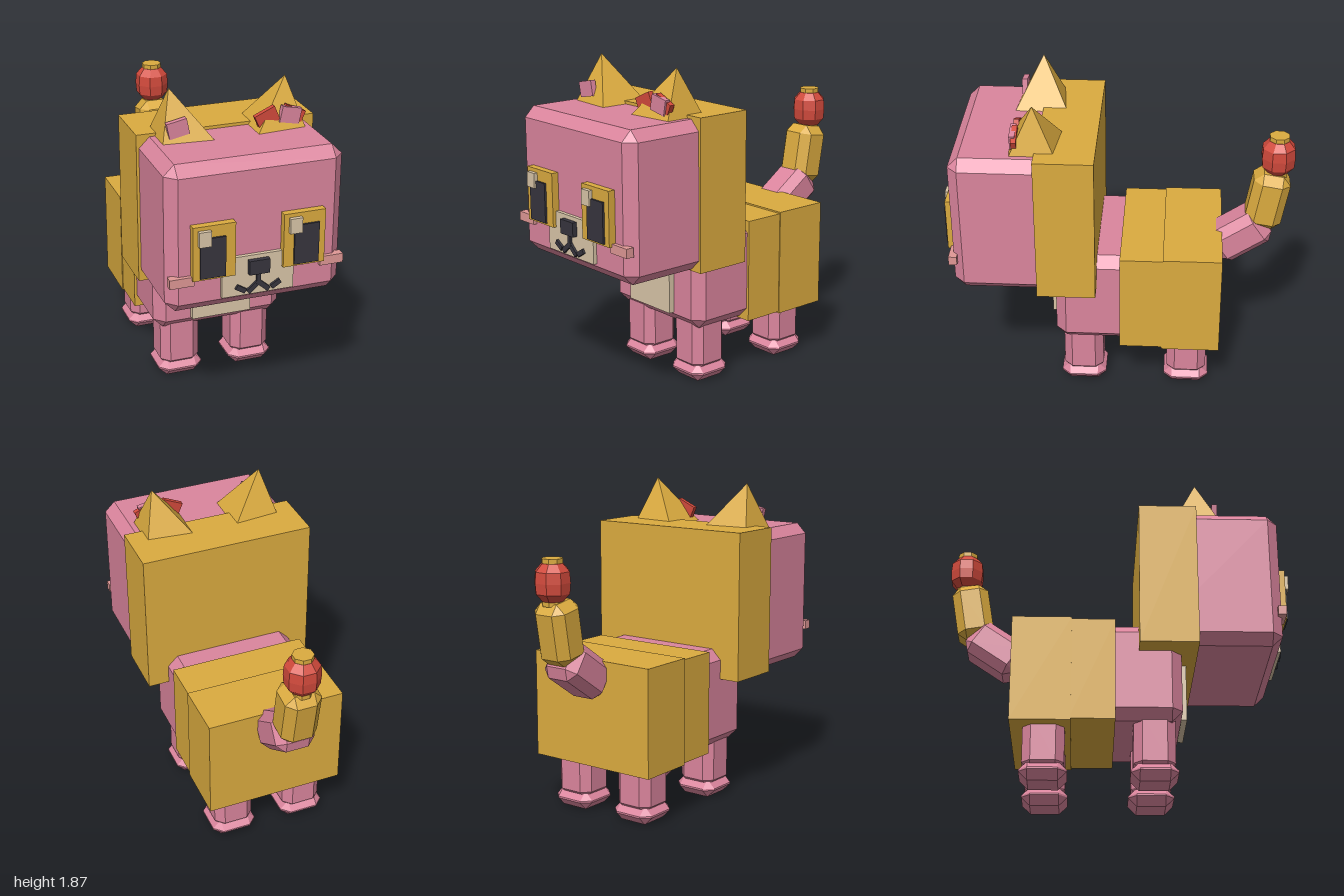
import * as THREE from 'three';
import { ConvexGeometry } from 'three/addons/geometries/ConvexGeometry.js';

const mat = (name, color) => {
  const m = new THREE.MeshStandardMaterial({ color, flatShading: true });
  m.name = name;
  return m;
};

// Box with every edge cut at 45 degrees, centred on the origin
function chamferedBox(w, h, d, c) {
  const points = [];
  for (const x of [-1, 1]) for (const y of [-1, 1]) for (const z of [-1, 1]) {
    const [a, b, e] = [w / 2, h / 2, d / 2];
    points.push(
      new THREE.Vector3(x * a, y * (b - c), z * (e - c)),
      new THREE.Vector3(x * (a - c), y * b, z * (e - c)),
      new THREE.Vector3(x * (a - c), y * (b - c), z * e));
  }
  return new ConvexGeometry(points);
}

export function createModel() {
  const pink = mat('pink', 0xdb859d), gold = mat('gold', 0xdbab3f), red = mat('red', 0xd24a3c);
  const cream = mat('cream', 0xdac6a8), dark = mat('charcoal', 0x37353e), salmon = mat('salmon', 0xe09896);

  const model = new THREE.Group();
  model.name = 'cat';

  const add = (name, geometry, material, x = 0, y = 0, z = 0) => {
    const mesh = new THREE.Mesh(geometry, material);
    mesh.name = name;
    mesh.position.set(x, y, z);
    model.add(mesh);
    return mesh;
  };
  // Plain box from its lower and upper limits
  const box = (name, material, [x0, x1], [y0, y1], [z0, z1]) =>
    add(name, new THREE.BoxGeometry(x1 - x0, y1 - y0, z1 - z0), material,
      (x0 + x1) / 2, (y0 + y1) / 2, (z0 + z1) / 2);
  // Small box turned in the front plane
  const tilted = (name, material, w, h, d, x, y, z, angle) => {
    const mesh = add(name, new THREE.BoxGeometry(w, h, d), material, x, y, z);
    mesh.rotation.z = angle;
    return mesh;
  };

  // Head and the golden back of the head
  add('head', chamferedBox(1.0, 0.845, 0.78, 0.06), pink, 0, 1.178, 0.54);
  box('headBack', gold, [-0.515, 0.515], [0.745, 1.618], [0.12, 0.455]);

  // Body, chest patch and golden hindquarters
  add('body', chamferedBox(0.78, 0.58, 0.865, 0.06), pink, 0, 0.63, -0.068);
  box('chestPatch', cream, [-0.18, 0.18], [0.41, 0.79], [0.34, 0.4]);
  box('waist', gold, [-0.405, 0.405], [0.325, 0.933], [-0.27, -0.013]);
  box('hindquarters', gold, [-0.41, 0.41], [0.315, 0.942], [-0.6, -0.26]);

  // Legs and feet
  const leg = chamferedBox(0.235, 0.36, 0.235, 0.048);
  const foot = chamferedBox(0.267, 0.11, 0.267, 0.05);
  for (const side of [-1, 1]) for (const [end, z] of [['front', 0.207], ['back', -0.41]]) {
    add(end + 'Leg', leg, pink, side * 0.22, 0.24, z);
    add(end + 'Foot', foot, pink, side * 0.22, 0.055, z);
  }

  // Face: muzzle, nose and mouth
  box('muzzle', cream, [-0.205, 0.205], [0.83, 1.06], [0.9, 0.952]);
  box('nose', dark, [-0.058, 0.058], [0.955, 1.037], [0.92, 0.98]);
  box('mouthStem', dark, [-0.012, 0.012], [0.89, 0.96], [0.93, 0.967]);

  for (const s of [-1, 1]) {
    tilted('mouthInner', dark, 0.075, 0.028, 0.036, s * 0.032, 0.873, 0.948, -s * 0.72);
    tilted('mouthOuter', dark, 0.06, 0.028, 0.036, s * 0.1, 0.873, 0.948, s * 0.55);
    box('whisker', salmon, [s * 0.428 - 0.068, s * 0.428 + 0.068], [0.932, 0.985], [0.905, 0.953]);

    // Eyes; both highlights lie on the same side
    const ex = s * 0.255;
    box('eyeFrame', gold, [ex - 0.119, ex + 0.119], [0.967, 1.277], [0.9, 0.972]);
    box('pupil', dark, [s * 0.265 - 0.071, s * 0.265 + 0.071], [0.98, 1.21], [0.965, 0.984]);
    box('eyeHighlight', cream, [ex - 0.091, ex - 0.022], [1.168, 1.255], [0.965, 0.995]);

    // Ears, leaning outwards
    const ear = [[0.41, 1.595, 0.34], [0.41, 1.595, 0.595], [0.115, 1.585, 0.305],
      [0.115, 1.585, 0.625], [0.333, 1.867, 0.465]];
    add('ear', new ConvexGeometry(ear.map(([x, y, z]) => new THREE.Vector3(s * x, y, z))), gold);
    tilted('innerEar', pink, 0.115, 0.09, 0.032, s * 0.322, 1.677, 0.575, -s * 0.2);
  }

  // Bow on the left ear
  tilted('bowLoop', red, 0.125, 0.085, 0.03, 0.19, 1.672, 0.565, 0.42);
  tilted('bowLoop', red, 0.125, 0.085, 0.03, 0.34, 1.672, 0.565, -0.42);

  // Tail in two bent segments
  add('tailBase', chamferedBox(0.235, 0.23, 0.354, 0.05), pink, 0, 0.9, -0.707).rotation.x = 0.6;
  add('tailTip', chamferedBox(0.215, 0.357, 0.215, 0.05), gold, 0, 1.14, -0.855).rotation.x = -0.17;

  // Ornament on the tail, with a collar above and below
  const profile = [[0, -0.105], [0.06, -0.103], [0.098, -0.06], [0.103, 0], [0.098, 0.06], [0.06, 0.103], [0, 0.105]];
  add('ornament', new THREE.LatheGeometry(profile.map(([r, y]) => new THREE.Vector2(r, y)), 8, Math.PI / 8),
    red, 0, 1.42, -0.905);
  for (const y of [1.304, 1.537])
    add('ornamentCollar', new THREE.CylinderGeometry(0.06, 0.06, 0.026, 8, 1, false, Math.PI / 8), gold, 0, y, -0.905);

  return model;
}
